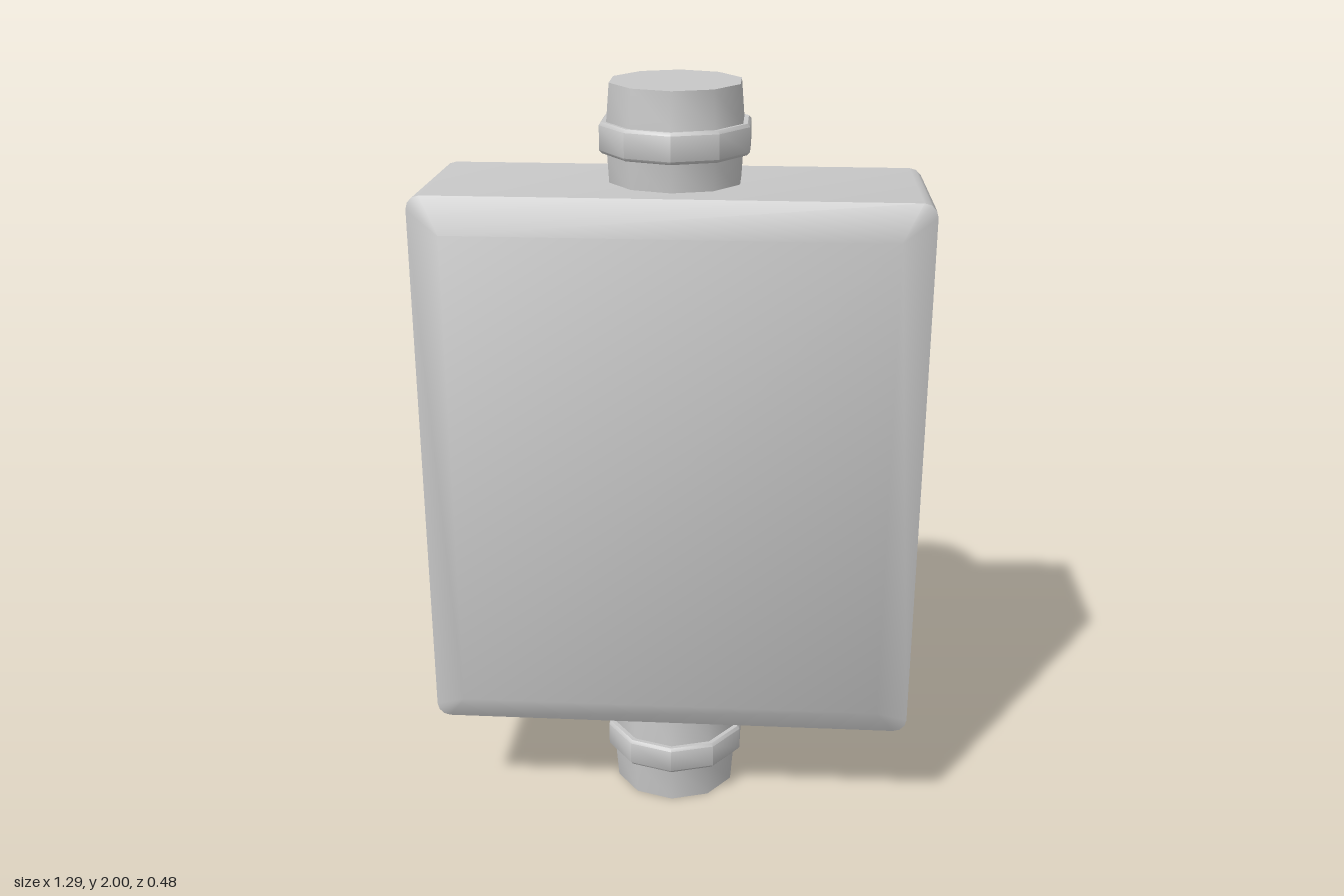
import * as THREE from 'three';
import { toCreasedNormals } from 'three/addons/utils/BufferGeometryUtils.js';

const CREASE = 0.72;
const PIPE_Z = -0.045;

// Rounded rectangle loop, counter-clockwise seen from +z
function section(halfW, y0, y1, r, z, steps = 3) {
  const corners = [
    [halfW - r, y1 - r, 0],
    [-halfW + r, y1 - r, 1],
    [-halfW + r, y0 + r, 2],
    [halfW - r, y0 + r, 3],
  ];
  const loop = [];
  for (const [cx, cy, quarter] of corners) {
    for (let i = 0; i <= steps; i++) {
      const a = (quarter + i / steps) * Math.PI / 2;
      loop.push(new THREE.Vector3(cx + r * Math.cos(a), cy + r * Math.sin(a), z));
    }
  }
  return loop;
}

// Skin the loops from back to front and close both ends
function loft(loops) {
  const pos = [];
  const tri = (a, b, c) => {
    if (a.distanceTo(b) < 1e-5 || b.distanceTo(c) < 1e-5 || c.distanceTo(a) < 1e-5) return;
    for (const p of [a, b, c]) pos.push(p.x, p.y, p.z);
  };
  const n = loops[0].length;
  for (let k = 0; k < loops.length - 1; k++) {
    const A = loops[k], B = loops[k + 1];
    for (let i = 0; i < n; i++) {
      const j = (i + 1) % n;
      tri(A[i], A[j], B[j]);
      tri(A[i], B[j], B[i]);
    }
  }
  const back = loops[0], front = loops[loops.length - 1];
  for (let i = 1; i < n - 1; i++) {
    tri(front[0], front[i], front[i + 1]);
    tri(back[0], back[i + 1], back[i]);
  }
  const g = new THREE.BufferGeometry();
  g.setAttribute('position', new THREE.Float32BufferAttribute(pos, 3));
  return toCreasedNormals(g, CREASE);
}

// Ten-sided pipe end with a collar; dir is +1 for the top, -1 for the bottom
function pipe(endY, dir, collar, length) {
  const profile = [
    [0, 0], [0.171, 0], [0.179, collar - 0.038],
    [0.191, collar - 0.039], [0.198, collar - 0.031],
    [0.198, collar + 0.031], [0.191, collar + 0.039],
    [0.178, collar + 0.038], [0.172, length],
  ].map(([r, d]) => new THREE.Vector2(r, endY - dir * d));
  if (dir > 0) profile.reverse();
  return toCreasedNormals(new THREE.LatheGeometry(profile, 10), CREASE);
}

export function createModel() {
  const group = new THREE.Group();
  const grey = new THREE.MeshStandardMaterial({ color: 0xc8c8c8 });
  grey.name = 'light grey';

  const add = (name, geometry, z = 0) => {
    const mesh = new THREE.Mesh(geometry, grey);
    mesh.name = name;
    mesh.position.z = z;
    group.add(mesh);
  };

  // Housing with rounded corners and a bevelled front
  add('housing', loft([
    section(0.638, 0.302, 1.748, 0.035, -0.237),
    section(0.645, 0.295, 1.755, 0.035, 0.196),
    section(0.56, 0.375, 1.667, 0, 0.241),
  ]));

  // Pipe ends above and below
  add('topPipe', pipe(2, 1, 0.134, 0.27), PIPE_Z);
  add('bottomPipe', pipe(0, -1, 0.141, 0.32), PIPE_Z);

  return group;
}
